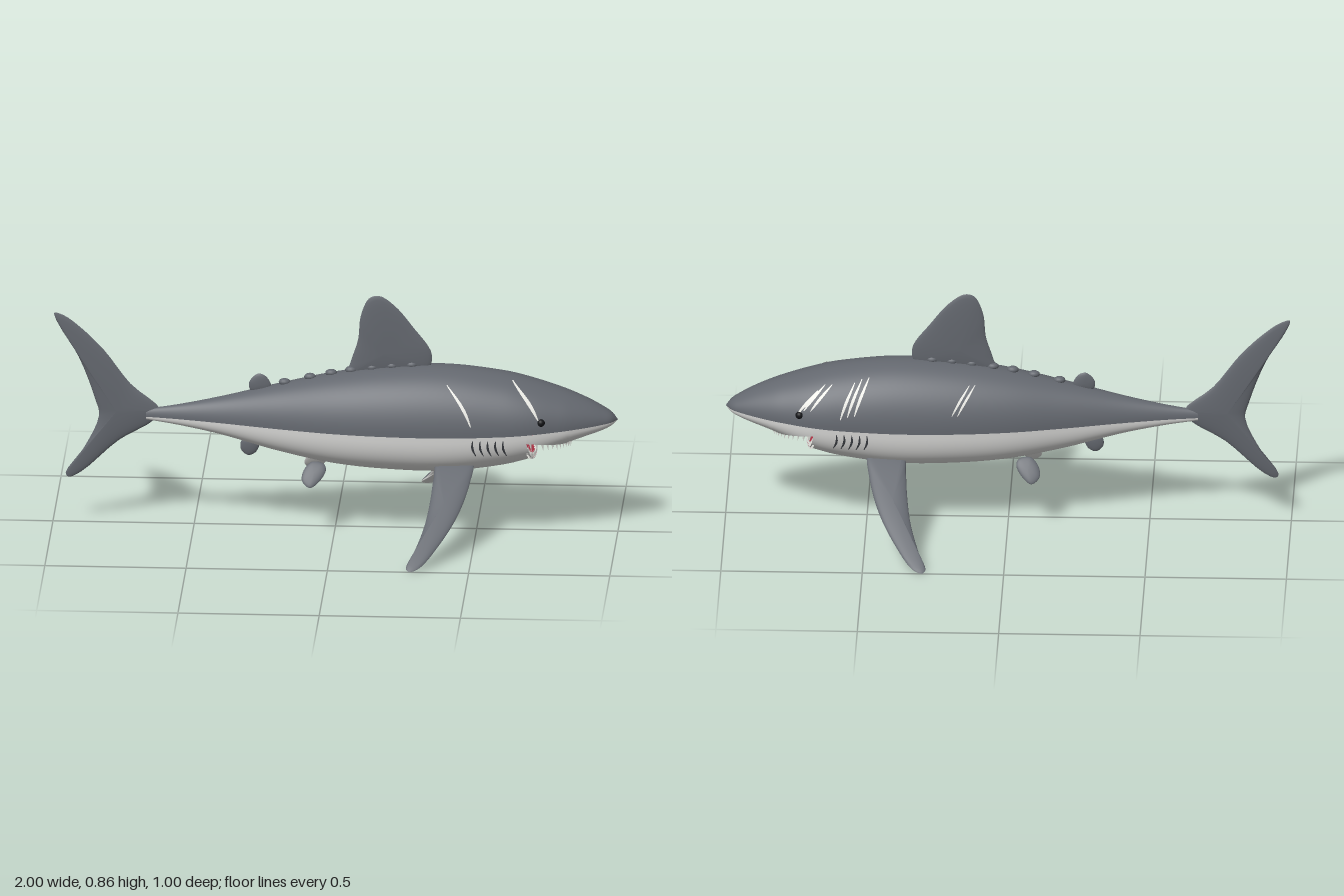
import * as THREE from 'three';

const mat = (name, color, side = THREE.DoubleSide) => new THREE.MeshStandardMaterial({ name, color, side });

// Body stations: x, top, seam, bottom, half width
const STATIONS = [
  [-0.67, 0.428, 0.402, 0.39, 0.012], [-0.55, 0.448, 0.4, 0.372, 0.028], [-0.4, 0.48, 0.397, 0.342, 0.055],
  [-0.2, 0.53, 0.394, 0.29, 0.1], [0, 0.575, 0.393, 0.252, 0.142], [0.2, 0.603, 0.393, 0.236, 0.165],
  [0.4, 0.61, 0.394, 0.235, 0.171], [0.6, 0.588, 0.4, 0.262, 0.163], [0.7, 0.564, 0.405, 0.291, 0.15],
  [0.8, 0.533, 0.41, 0.335, 0.122], [0.84, 0.518, 0.412, 0.352, 0.108], [0.9, 0.492, 0.415, 0.372, 0.082],
  [0.95, 0.465, 0.418, 0.389, 0.056], [0.98, 0.445, 0.42, 0.404, 0.034], [1, 0.421, 0.421, 0.421, 0],
];

// Smooth interpolation of the stations
function station(x) {
  const S = STATIONS, n = S.length;
  let i = 0;
  while (i < n - 2 && x > S[i + 1][0]) i++;
  const h = S[i + 1][0] - S[i][0], s = Math.min(1, Math.max(0, (x - S[i][0]) / h));
  const slope = (k, c) => {
    const a = S[Math.max(0, k - 1)], b = S[Math.min(n - 1, k + 1)];
    return (b[c] - a[c]) / (b[0] - a[0]);
  };
  const [top, seam, bottom, width] = [1, 2, 3, 4].map((c) =>
    (2 * s ** 3 - 3 * s * s + 1) * S[i][c] + (s ** 3 - 2 * s * s + s) * h * slope(i, c) +
    (3 * s * s - 2 * s ** 3) * S[i + 1][c] + (s ** 3 - s * s) * h * slope(i + 1, c));
  return { top, seam, bottom, width };
}

const LOW = 2.5; // roundness of the belly
function upperPoint(x, t) {
  const { top, seam, width } = station(x);
  return [x, seam + (top - seam) * Math.sin(t), width * Math.cos(t)];
}
function lowerPoint(x, t) {
  const { seam, bottom, width } = station(x), c = Math.cos(t);
  return [x, seam - (seam - bottom) * Math.abs(Math.sin(t)) ** (2 / LOW), width * Math.sign(c) * Math.abs(c) ** (2 / LOW)];
}
function widthAt(x, y) {
  const { top, seam, bottom, width } = station(x);
  const p = y >= seam ? 2 : LOW;
  const d = Math.min(1, y >= seam ? (y - seam) / (top - seam) : (seam - y) / (seam - bottom));
  return width * (1 - d ** p) ** (1 / p);
}

// Upper lip line and the section angle where it meets the skin
const JAW = 0.685;
const lipY = (x) => 0.372 - 0.022 * Math.max(0, x - JAW) / 0.155;
function lipAngle(x) {
  const { seam, bottom } = station(x);
  const r = (seam - lipY(x)) / Math.max(1e-4, seam - bottom);
  return x > 0.845 || r >= 1 ? Math.PI / 2 : Math.asin(r ** (LOW / 2));
}

// Grid surface from a point function of two 0..1 parameters
function grid(nu, nv, fn, flip = false) {
  const pos = [], idx = [];
  for (let i = 0; i <= nu; i++) for (let j = 0; j <= nv; j++) pos.push(...fn(i / nu, j / nv));
  for (let i = 0; i < nu; i++) for (let j = 0; j < nv; j++) {
    const a = i * (nv + 1) + j, b = a + nv + 1;
    if (flip) idx.push(a, a + 1, b, b, a + 1, b + 1);
    else idx.push(a, b, a + 1, b, b + 1, a + 1);
  }
  const g = new THREE.BufferGeometry();
  g.setAttribute('position', new THREE.Float32BufferAttribute(pos, 3));
  g.setIndex(idx);
  g.computeVertexNormals();
  return g;
}

export function createModel() {
  const model = new THREE.Group();
  model.name = 'shark';
  const grey = mat('backGrey', 0x63676e), pale = mat('bellyPale', 0xd6d6d4), red = mat('mouthRed', 0xa83244);
  const white = mat('toothWhite', 0xf0f0ea), dark = mat('gillDark', 0x3a3d42), black = mat('eyeBlack', 0x141518);
  const add = (name, geometry, material, parent = model) => {
    const m = new THREE.Mesh(geometry, material);
    m.name = name;
    parent.add(m);
    return m;
  };
  const PI = Math.PI, lerp = THREE.MathUtils.lerp;

  // Body skin: back, belly with lower jaw, underside of the snout
  const ease = (u) => Math.sin(u * PI / 2);
  add('back', grid(72, 40, (u, v) => upperPoint(lerp(-0.67, 1, ease(u)), v * PI)), grey);
  const jawAngle = lipAngle(JAW);
  const rimPoint = (t) => {
    const p = lowerPoint(JAW, t), a = Math.min(t, PI - t);
    p[0] += 0.03 * Math.max(0, (a - jawAngle) / (PI / 2 - jawAngle));
    p[1] += (p[0] - JAW) * 0.25;
    return p;
  };
  add('belly', grid(50, 40, (u, v) => {
    const t = (1 - v) * PI;
    return u === 1 ? rimPoint(t) : lowerPoint(lerp(-0.67, JAW, u), t);
  }), pale);
  const snoutX = (u) => lerp(JAW, 1, ease(u));
  add('snoutRight', grid(40, 12, (u, v) => lowerPoint(snoutX(u), PI - v * lipAngle(snoutX(u)))), pale);
  add('snoutLeft', grid(40, 12, (u, v) => lowerPoint(snoutX(u), (1 - v) * lipAngle(snoutX(u)))), pale);

  // Mouth: flat palate and a hollow throat
  add('palate', grid(30, 4, (u, v) => {
    const x = lerp(0.6, 0.845, u), p = lowerPoint(x, lipAngle(x));
    return [x, p[1], p[2] * 0.985 * (2 * v - 1)];
  }), red);
  add('throat', grid(8, 24, (u, v) => {
    const p = rimPoint(lerp(PI - jawAngle, jawAngle, v)), k = Math.cos(u * PI / 2) * 0.985;
    return [p[0] - 0.003 - 0.08 * Math.sin(u * PI / 2), lipY(JAW) + (p[1] - lipY(JAW)) * k, p[2] * k];
  }), red);

  // Teeth: one row on each lip
  const toothGeo = new THREE.ConeGeometry(0.006, 0.03, 6);
  const tooth = (name, p, up, inset) => {
    const m = add(name, toothGeo, white);
    m.position.set(p[0] - inset, p[1] + (up ? 0.008 : -0.01), p[2] * 0.96);
    m.rotation.z = up ? -0.15 : PI + 0.15;
  };
  for (let i = 0; i <= 24; i++) {
    const f = i / 12 - 1, x = 0.838 - 0.135 * f * f, p = lowerPoint(x, lipAngle(x));
    tooth('upperTooth', [p[0], p[1], Math.min(p[2], 0.15 * Math.abs(f)) * Math.sign(f)], false, 0.004);
    if (i > 1 && i < 23) tooth('lowerTooth', rimPoint(lerp(jawAngle + 0.15, PI - jawAngle - 0.15, i / 24)), true, 0.005);
  }

  // Fins: smooth outline swelling to a thin lens, one mesh per side
  function fin(name, outline, center, thick, frontMat = grey, backMat = grey) {
    const g = new THREE.Group();
    g.name = name;
    const pts = new THREE.CatmullRomCurve3(outline.map(([a, b]) => new THREE.Vector3(a, b, 0)), true).getPoints(64);
    if (THREE.ShapeUtils.isClockWise(pts)) pts.reverse();
    for (const s of [1, -1]) {
      add(name + (s > 0 ? 'SideA' : 'SideB'), grid(8, 64, (u, v) => {
        const q = pts[Math.round(v * 64)], k = Math.max(0.001, ease(u));
        return [lerp(center[0], q.x, k), lerp(center[1], q.y, k), s * thick * Math.sqrt(Math.max(0, 1 - k * k))];
      }, s < 0), s > 0 ? frontMat : backMat, g);
    }
    model.add(g);
    return g;
  }
  fin('dorsalFin', [[0.045, 0.57], [0.055, 0.62], [0.08, 0.7], [0.09, 0.79], [0.12, 0.855], [0.155, 0.864], [0.21, 0.828],
    [0.275, 0.75], [0.34, 0.655], [0.33, 0.6], [0.2, 0.57]], [0.17, 0.65], 0.013);
  fin('tailFin', [[-0.62, 0.425], [-0.725, 0.52], [-0.82, 0.645], [-0.9, 0.725], [-0.96, 0.77], [-0.995, 0.78], [-0.987, 0.75],
    [-0.91, 0.62], [-0.85, 0.46], [-0.837, 0.4], [-0.893, 0.275], [-0.955, 0.185], [-0.945, 0.17], [-0.9, 0.19],
    [-0.767, 0.31], [-0.645, 0.385]], [-0.775, 0.42], 0.013);
  fin('secondDorsalFin', [[-0.24, 0.5], [-0.228, 0.525], [-0.25, 0.56], [-0.275, 0.566], [-0.305, 0.535], [-0.3, 0.505]], [-0.265, 0.525], 0.009);
  fin('analFin', [[-0.28, 0.33], [-0.27, 0.3], [-0.285, 0.272], [-0.31, 0.263], [-0.335, 0.285], [-0.33, 0.32]], [-0.3, 0.3], 0.009);
  const pectoral = [[0.37, 0], [0.49, 0], [0.487, 0.09], [0.45, 0.235], [0.39, 0.365], [0.325, 0.465], [0.29, 0.483],
    [0.277, 0.468], [0.302, 0.4], [0.335, 0.28], [0.35, 0.17], [0.357, 0.08]];
  const pelvic = [[-0.08, -0.012], [-0.038, -0.005], [-0.03, 0.02], [-0.055, 0.065], [-0.085, 0.086], [-0.113, 0.06], [-0.108, 0.02]];
  for (const s of [1, -1]) {
    const side = s > 0 ? 'left' : 'right';
    const a = fin(side + 'PectoralFin', pectoral, [0.4, 0.19], 0.013, pale, grey);
    const b = fin(side + 'PelvicFin', pelvic, [-0.072, 0.035], 0.008, pale, grey);
    a.position.set(0, 0.29, 0.11 * s);
    a.rotation.x = 2.205 * s;
    b.position.set(0, 0.25, 0.06 * s);
    b.rotation.x = 2.52 * s;
    a.scale.z = b.scale.z = s;
    // Mirrored span keeps the dark side up
    if (s < 0) [a, b].forEach((g) => { g.rotation.x *= 1; });
  }

  // Small bumps along the spine
  const bump = new THREE.SphereGeometry(1, 16, 10);
  for (const x of [-0.18, -0.09, -0.015, 0.055, 0.13, 0.2, 0.27]) {
    const m = add('spineBump', bump, grey);
    m.scale.set(0.021, 0.013, 0.016);
    m.position.set(x, station(x).top + 0.003, 0);
  }

  // Thin strips that follow the skin
  function strip(name, side, from, to, width, bow, material) {
    add(name, grid(16, 2, (u, v) => {
      const taper = 0.25 + 0.75 * Math.sin(u * PI);
      const x = lerp(from[0], to[0], u) + bow * Math.sin(u * PI) + (v - 0.5) * width * taper;
      const y = lerp(from[1], to[1], u);
      return [x, y + 0.001, side * (widthAt(x, y) + 0.003)];
    }, side < 0), material);
  }
  for (const s of [1, -1]) {
    for (let i = 0; i < 5; i++) {
      const x = 0.495 + i * 0.027;
      strip('gillSlit', s, [x, 0.385], [x + 0.012, 0.325], 0.008, -0.006, dark);
    }
    const eye = add(s > 0 ? 'leftEye' : 'rightEye', new THREE.SphereGeometry(0.014, 16, 12), black);
    eye.position.set(0.735, 0.446, s * (widthAt(0.735, 0.446) - 0.004));
  }
  strip('scar', 1, [0.4, 0.57], [0.488, 0.435], 0.013, 0.012, white);
  strip('scar', 1, [0.63, 0.575], [0.725, 0.455], 0.015, 0.01, white);
  for (const [x, y] of [[0.62, 0.55], [0.645, 0.548], [0.67, 0.53]]) strip('scar', -1, [x, y], [x + 0.075, y - 0.085], 0.012, 0.004, white);
  for (const [x, y] of [[0.49, 0.575], [0.515, 0.57], [0.54, 0.56]]) strip('scar', -1, [x, y], [x + 0.05, y - 0.12], 0.011, 0.004, white);
  for (const x of [0.115, 0.135]) strip('scar', -1, [x, 0.555], [x + 0.06, 0.46], 0.01, 0.003, white);

  return model;
}
